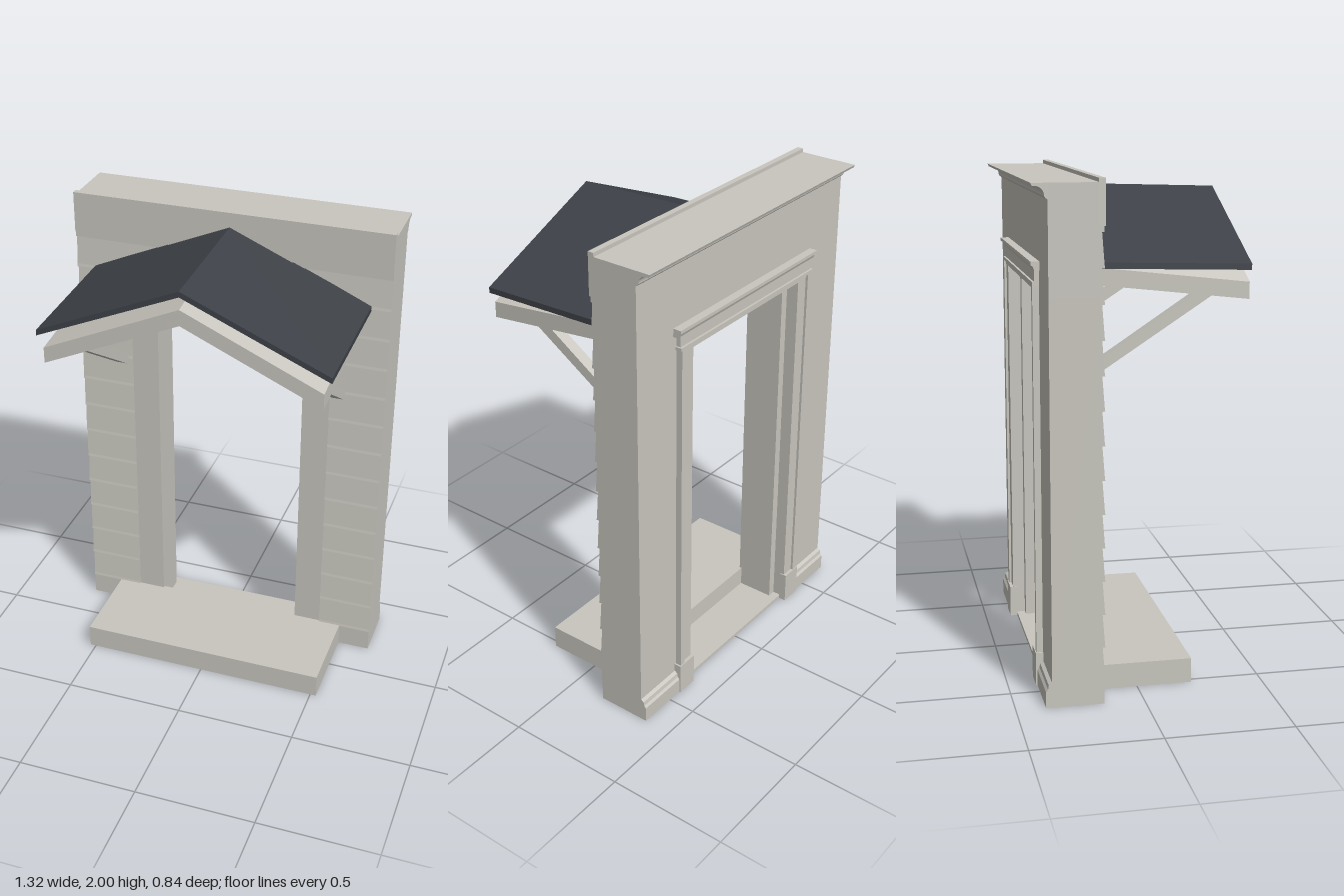
import * as THREE from 'three';

export function createModel() {
  const model = new THREE.Group();
  const paint = new THREE.MeshStandardMaterial({ color: 0xc8c6be });
  paint.name = 'warm grey paint';
  const slate = new THREE.MeshStandardMaterial({ color: 0x3d4147 });
  slate.name = 'dark slate';

  const add = (name, geometry, material = paint) => {
    const mesh = new THREE.Mesh(geometry, material);
    mesh.name = name;
    model.add(mesh);
    return mesh;
  };
  // Box given by its lower and upper limits on each axis
  const box = (name, x0, x1, y0, y1, z0, z1) => {
    const g = new THREE.BoxGeometry(x1 - x0, y1 - y0, z1 - z0);
    g.translate((x0 + x1) / 2, (y0 + y1) / 2, (z0 + z1) / 2);
    return add(name, g);
  };
  const shapeOf = (pts) => new THREE.Shape(pts.map(([a, b]) => new THREE.Vector2(a, b)));
  // Side profile of [z, y] points swept along x
  const sweep = (name, pts, x0, x1) => {
    const g = new THREE.ExtrudeGeometry(shapeOf(pts), { depth: x1 - x0, bevelEnabled: false });
    g.rotateY(-Math.PI / 2);
    g.translate(x1, 0, 0);
    return add(name, g);
  };
  // Runs a part for both sides, with its x limits mirrored
  const bothSides = (x0, x1, build) => {
    build(x0, x1);
    build(-x1, -x0);
  };

  const W = 0.66, OPEN = 0.315, TRIM = 0.43, TOP = 1.54;
  const BACK = -0.36, FRONT = -0.168;

  // Wall posts, header and door frame with a rebate at the back
  bothSides(0.35, W, (a, b) => box('wallPost', a, b, 0, TOP + 0.035, BACK, FRONT));
  box('wallHeader', -W, W, TOP + 0.035, 1.985, BACK, FRONT);
  bothSides(OPEN, 0.35, (a, b) => box('doorJamb', a, b, 0, TOP + 0.035, -0.325, FRONT));
  box('doorHead', -OPEN, OPEN, TOP, TOP + 0.035, -0.325, FRONT);
  box('threshold', -0.35, 0.35, 0, 0.015, BACK, FRONT);

  // Lapped siding: each board is thicker at its lower edge
  const PITCH = 0.1316, START = 0.098;
  const board = (y0, y1, a, b) => sweep('sidingBoard', [
    [-0.172, y0], [-0.153, y0], [-0.155, y0 + 0.012], [-0.164, y1], [-0.172, y1],
  ], a, b);
  bothSides(TRIM, W, (a, b) => {
    box('sidingBase', a, b, 0, START, FRONT - 0.002, -0.158);
    for (let i = 0; i < 12; i++) board(START + i * PITCH, START + (i + 1) * PITCH, a, b);
  });
  board(START + 12 * PITCH, START + 13 * PITCH, -W, W);
  box('sidingStrip', -W, W, START + 13 * PITCH, 1.83, FRONT - 0.004, -0.156);
  box('frieze', -W, W, 1.83, 2.0, -0.175, -0.15);

  // Front door casing
  bothSides(OPEN, TRIM, (a, b) => box('frontCasing', a, b, 0, TOP, FRONT, -0.16));
  box('frontHeadCasing', -TRIM, TRIM, TOP, START + 12 * PITCH, FRONT, -0.16);
  box('frontHeadBead', -0.365, 0.365, 1.587, 1.6, -0.16, -0.155);

  // Step
  box('doorStep', -0.525, 0.525, 0, 0.1, -0.17, 0.22);

  // Curved crown moulding along the top of the back
  const cove = [];
  for (let i = 0; i <= 8; i++) {
    const t = (i / 8) * Math.PI / 2;
    cove.push([-0.405 + 0.033 * Math.cos(t), 1.938 + 0.036 * Math.sin(t)]);
  }
  sweep('crownMoulding', [
    [BACK, 1.985], [-0.42, 1.985], [-0.416, 1.974], ...cove.reverse(), [-0.368, 1.932], [BACK, 1.926],
  ], -W, W);

  // Back door casing with raised outer band, plinths and cap
  bothSides(0.35, TRIM, (a, b) => box('backCasing', a, b, 0, 1.6, -0.376, BACK));
  bothSides(0.405, TRIM, (a, b) => box('backCasingBand', a, b, 0.13, 1.6, -0.386, -0.376));
  bothSides(0.345, 0.437, (a, b) => box('plinthBlock', a, b, 0, 0.135, -0.39, BACK));
  box('backHeadCasing', -TRIM, TRIM, TOP + 0.035, 1.665, -0.378, BACK);
  box('backHeadBead', -0.437, 0.437, 1.592, 1.605, -0.387, BACK);
  sweep('backHeadCap', [
    [BACK, 1.683], [-0.394, 1.683], [-0.394, 1.67], [-0.386, 1.665], [-0.38, 1.65], [BACK, 1.65],
  ], -0.45, 0.45);

  // Baseboard
  bothSides(0.437, W, (a, b) => sweep('baseboard', [
    [BACK, 0], [-0.384, 0], [-0.384, 0.065], [-0.376, 0.075], [-0.373, 0.092], [BACK, 0.1],
  ], a, b));

  // Gabled canopy layers, each sloping down toward the front
  const gable = (name, half, ridge, eave, thick, drop, material) => {
    const z0 = -0.16, z1 = 0.42;
    const g = new THREE.ExtrudeGeometry(shapeOf([
      [-half, eave - thick], [0, ridge - thick], [half, eave - thick],
      [half, eave], [0, ridge], [-half, eave],
    ]), { depth: z1 - z0, bevelEnabled: false });
    g.translate(0, 0, z0);
    const p = g.attributes.position;
    for (let i = 0; i < p.count; i++) {
      p.setY(i, p.getY(i) - drop * (p.getZ(i) - z0) / (z1 - z0));
    }
    g.computeVertexNormals();
    add(name, g, material);
  };
  gable('canopyRoof', 0.58, 1.94, 1.69, 0.023, 0.018, slate);
  gable('canopySoffit', 0.553, 1.916, 1.668, 0.065, 0.067, paint);

  // Diagonal canopy brackets
  bothSides(0.447, 0.495, (a, b) => sweep('canopyBracket', [
    [-0.16, 1.3], [-0.132, 1.27], [0.325, 1.568], [0.25, 1.572],
  ], a, b));

  return model;
}
